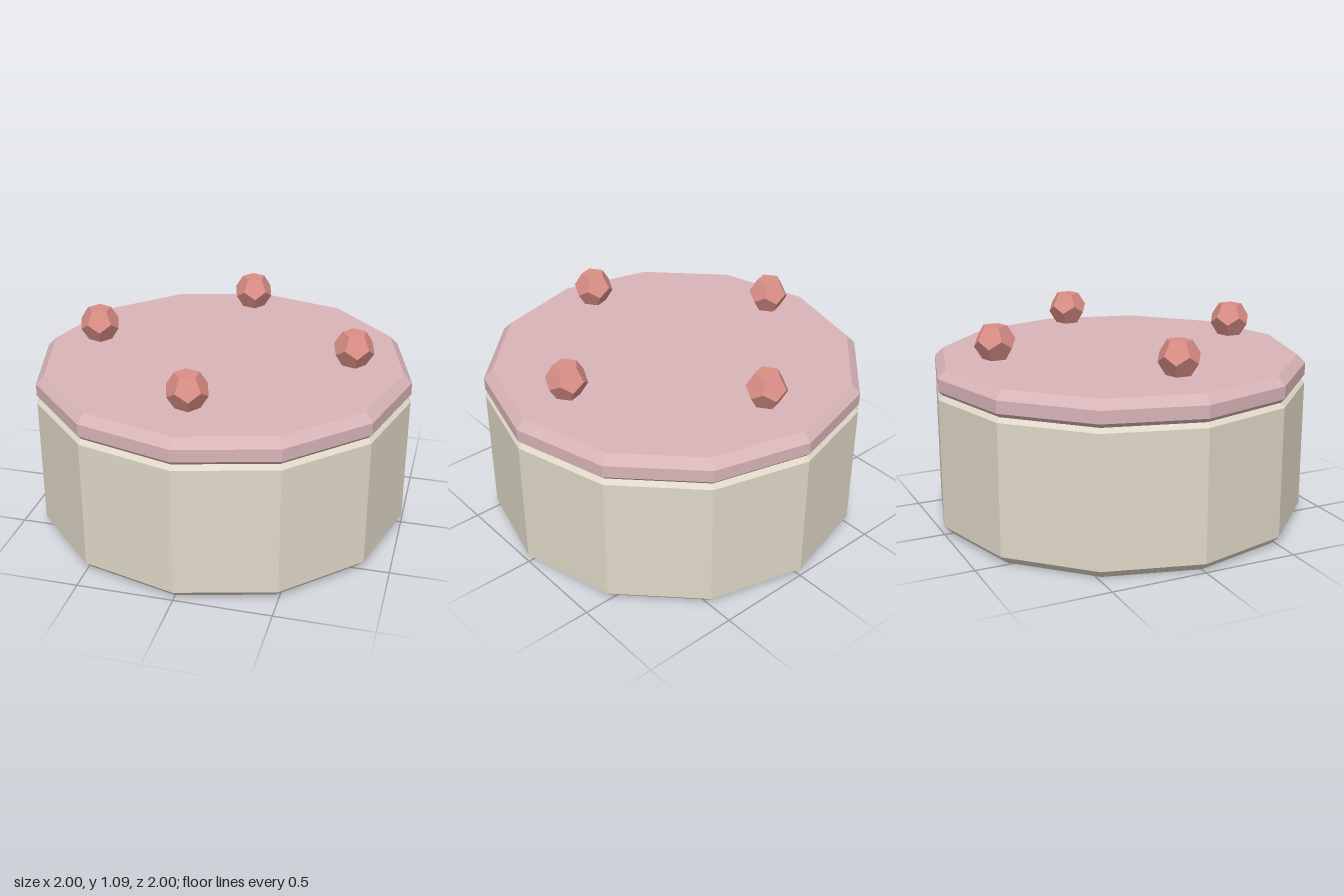
import * as THREE from 'three';

const flat = (color) => new THREE.MeshStandardMaterial({ color, flatShading: true });

// Twelve-sided disc with bevelled top and bottom rims
function bevelledDrum(name, y0, y1, material) {
  const bevel = 0.045;
  const profile = [
    [0, y0], [1 - bevel, y0], [1, y0 + bevel],
    [1, y1 - bevel], [1 - bevel, y1], [0, y1],
  ].map(([r, y]) => new THREE.Vector2(r, y));
  const mesh = new THREE.Mesh(new THREE.LatheGeometry(profile, 12), material);
  mesh.name = name;
  return mesh;
}

export function createModel() {
  const model = new THREE.Group();
  model.name = 'drum';

  // Body and lid overlap slightly, so their bevels form a groove
  model.add(bevelledDrum('body', 0, 0.775, flat(0xe0d8c8)));
  model.add(bevelledDrum('lid', 0.73, 0.885, flat(0xd8b4b8)));

  // Four dodecahedral studs hovering over the lid, each with a face upwards
  const studGeometry = new THREE.DodecahedronGeometry(0.107);
  studGeometry.rotateX(-Math.atan(2 / (1 + Math.sqrt(5))));
  studGeometry.rotateY(-Math.PI / 2);
  const studMaterial = flat(0xd98e86);
  const studs = new THREE.Group();
  studs.name = 'studs';
  for (let i = 0; i < 4; i++) {
    const a = (i * Math.PI) / 2;
    const stud = new THREE.Mesh(studGeometry, studMaterial);
    stud.name = `stud${i + 1}`;
    stud.position.set(0.692 * Math.cos(a), 1, 0.692 * Math.sin(a));
    studs.add(stud);
  }
  model.add(studs);

  return model;
}
